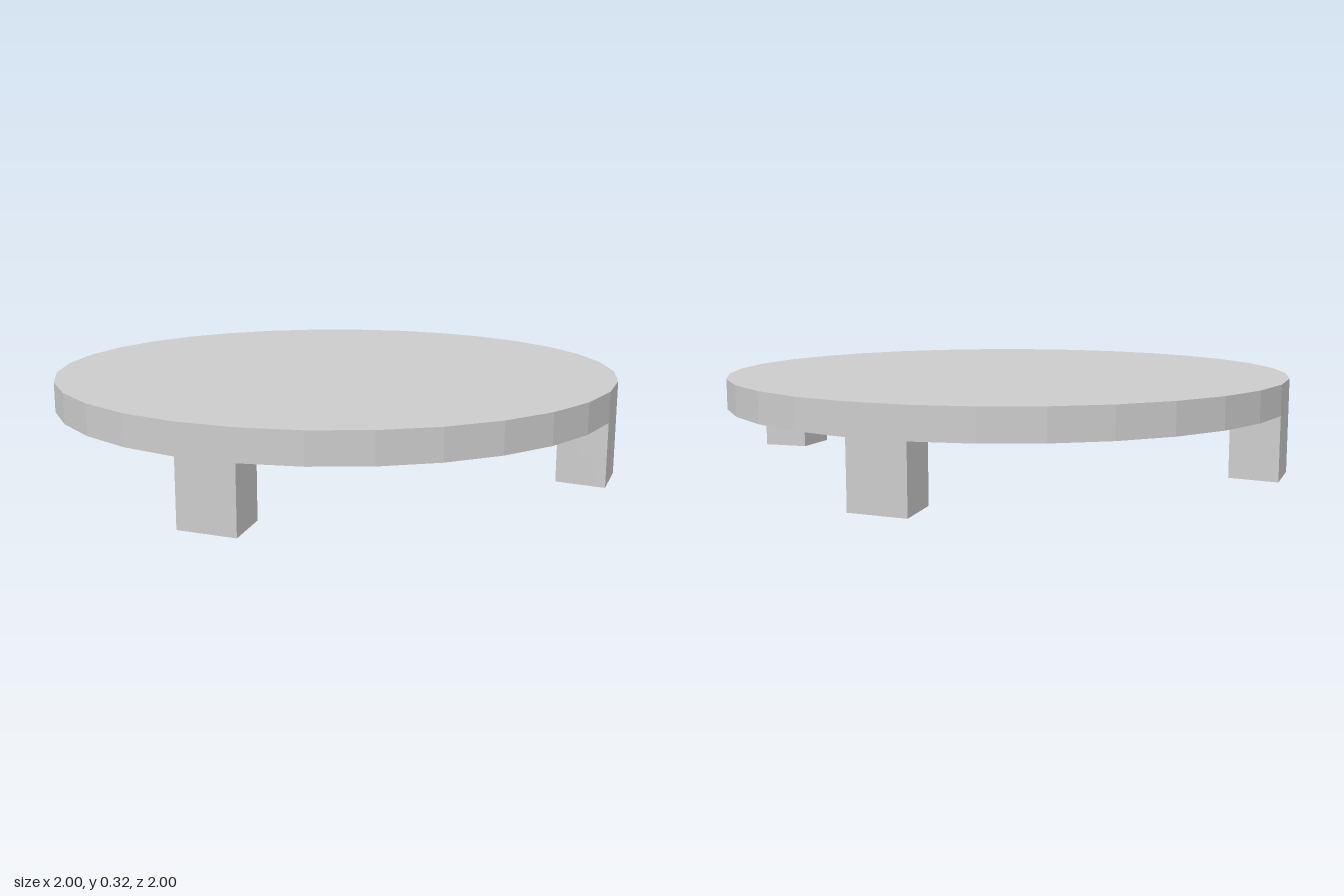
import * as THREE from 'three';

const SIDES = 32;
const LEG_HEIGHT = 0.22;
const TOP_THICKNESS = 0.103;
const LEG_INNER = 0.833;

export function createModel() {
  const model = new THREE.Group();
  model.name = 'roundTable';
  const material = new THREE.MeshStandardMaterial({ color: 0xcccccc, flatShading: true });

  // Faceted round top
  const top = new THREE.Mesh(new THREE.CylinderGeometry(1, 1, TOP_THICKNESS, SIDES), material);
  top.name = 'tableTop';
  top.position.y = LEG_HEIGHT + TOP_THICKNESS / 2;
  model.add(top);

  // Wedge leg: one facet of the rim, narrowing towards the centre
  const angle = (Math.PI * 2) / SIDES;
  const c = Math.cos(angle), s = -Math.sin(angle);
  const outline = new THREE.Shape([
    new THREE.Vector2(1, 0),
    new THREE.Vector2(LEG_INNER, 0),
    new THREE.Vector2(LEG_INNER * c, LEG_INNER * s),
    new THREE.Vector2(c, s),
  ]);
  const legGeometry = new THREE.ExtrudeGeometry(outline, { depth: LEG_HEIGHT, bevelEnabled: false });
  legGeometry.rotateX(-Math.PI / 2);

  // Four legs, a quarter turn apart
  ['leftLeg', 'backLeg', 'rightLeg', 'frontLeg'].forEach((name, i) => {
    const leg = new THREE.Mesh(legGeometry, material);
    leg.name = name;
    leg.rotation.y = (i * Math.PI) / 2;
    model.add(leg);
  });

  return model;
}
